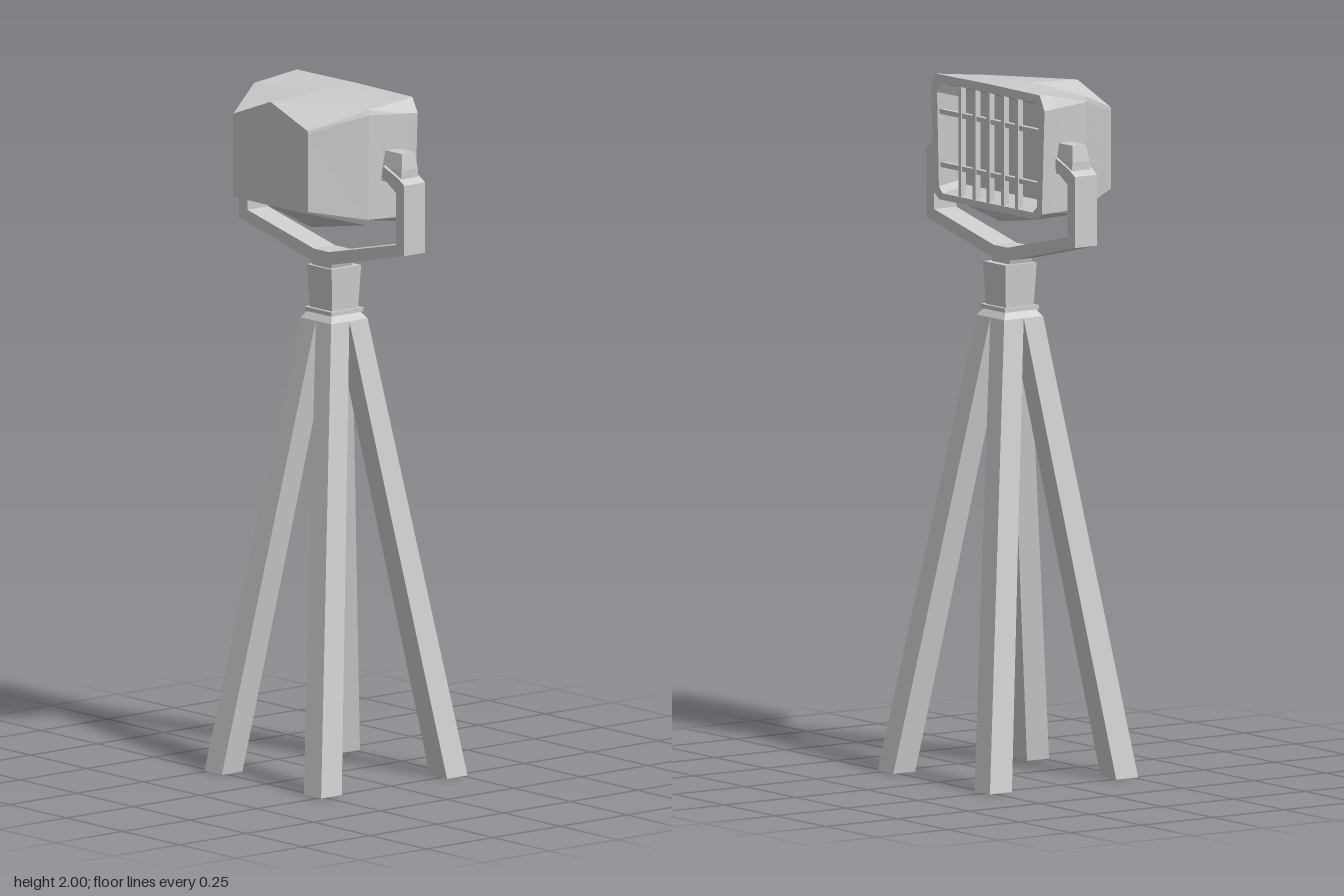
import * as THREE from 'three';

const material = new THREE.MeshStandardMaterial({ color: 0xcccccc, flatShading: true });

function addMesh(parent, name, geometry) {
  const mesh = new THREE.Mesh(geometry, material);
  mesh.name = name;
  parent.add(mesh);
  return mesh;
}

// Four-sided block between two level rectangles [x0, x1, z0, z1]
function block(y0, bottom, y1, top) {
  const g = new THREE.BoxGeometry(1, 1, 1).toNonIndexed();
  const p = g.attributes.position;
  for (let i = 0; i < p.count; i++) {
    const up = p.getY(i) > 0;
    const r = up ? top : bottom;
    p.setXYZ(i, p.getX(i) > 0 ? r[1] : r[0], up ? y1 : y0, p.getZ(i) > 0 ? r[3] : r[2]);
  }
  g.computeVertexNormals();
  return g;
}

const square = (h) => [-h, h, -h, h];

// Closed loft through mirrored half sections { x, half: [[z, y], ...] }, top to bottom
function loft(sections) {
  const rings = sections.map(({ x, half }) => {
    const other = half.slice(1, -1).reverse().map(([z, y]) => [-z, y]);
    return [...half, ...other].map(([z, y]) => [x, y, z]);
  });
  const n = rings[0].length;
  const out = [];
  const tri = (a, b, c) => out.push(...a, ...b, ...c);
  for (let i = 0; i < rings.length - 1; i++) {
    for (let j = 0; j < n; j++) {
      const k = (j + 1) % n;
      tri(rings[i][j], rings[i][k], rings[i + 1][k]);
      tri(rings[i][j], rings[i + 1][k], rings[i + 1][j]);
    }
  }
  const first = rings[0], last = rings[rings.length - 1];
  for (let j = 1; j < n - 1; j++) {
    tri(first[0], first[j + 1], first[j]);
    tri(last[0], last[j], last[j + 1]);
  }
  const g = new THREE.BufferGeometry();
  g.setAttribute('position', new THREE.Float32BufferAttribute(out, 3));
  g.computeVertexNormals();
  return g;
}

export function createModel() {
  const model = new THREE.Group();
  model.name = 'tripodFloodlight';

  // Four splayed legs with square feet
  const legs = new THREE.Group();
  legs.name = 'legs';
  model.add(legs);
  for (const sx of [-1, 1]) {
    for (const sz of [-1, 1]) {
      const range = (s, a, b) => (s > 0 ? [a, b] : [-b, -a]);
      const z = sx > 0 ? [0.2, 0.276] : [0.181, 0.258];
      const foot = [...range(sx, 0.189, 0.266), ...range(sz, ...z)];
      const head = [...range(sx, 0, 0.068), ...range(sz, 0, 0.068)];
      addMesh(legs, 'leg', block(0, foot, 1.325, head));
    }
  }

  // Hub: sloped collar, thin ring and flared socket
  const hub = new THREE.Group();
  hub.name = 'hub';
  model.add(hub);
  addMesh(hub, 'collar', block(1.325, square(0.068), 1.345, square(0.053)));
  addMesh(hub, 'ring', block(1.345, square(0.06), 1.357, square(0.06)));
  addMesh(hub, 'socket', block(1.357, square(0.049), 1.48, square(0.055)));

  // Yoke carrying the lamp on both sides
  const outer = [[0.04, 1.475], [0.045, 1.492], [0.365, 1.567], [0.365, 1.772], [0.335, 1.79], [0.27, 1.815]];
  const inner = [[0.27, 1.782], [0.328, 1.746], [0.328, 1.594], [0.033, 1.527]];
  const half = [...outer, ...inner];
  const outline = [...half, ...half.map(([z, y]) => [-z, y]).reverse()];
  const yokeShape = new THREE.Shape(outline.map(([z, y]) => new THREE.Vector2(z, y)));
  const yoke = new THREE.ExtrudeGeometry(yokeShape, { depth: 0.078, bevelEnabled: false });
  yoke.rotateY(Math.PI / 2).translate(-0.046, 0, 0);
  addMesh(model, 'yoke', yoke);

  // Tapered pivot knobs
  for (const s of [-1, 1]) {
    const zs = (a, b) => (s > 0 ? [a, b] : [-b, -a]);
    addMesh(model, 'pivotKnob', block(1.77, [-0.04, 0.028, ...zs(0.25, 0.342)], 1.81, [-0.036, 0.024, ...zs(0.25, 0.342)]));
    addMesh(model, 'pivotKnobCap', block(1.81, [-0.036, 0.024, ...zs(0.25, 0.342)], 1.857, [-0.028, 0.018, ...zs(0.25, 0.335)]));
  }

  // Lamp housing from the back plate to the rim, then into the recess
  addMesh(model, 'lampHousing', loft([
    { x: -0.237, half: [[0, 1.985], [0.164, 1.925], [0.165, 1.915], [0.165, 1.69], [0.16, 1.683], [0, 1.683]] },
    { x: -0.085, half: [[0, 1.99], [0.252, 1.981], [0.256, 1.965], [0.25, 1.66], [0.24, 1.643], [0, 1.6]] },
    { x: 0.035, half: [[0, 1.997], [0.256, 1.993], [0.273, 1.958], [0.262, 1.656], [0.24, 1.639], [0, 1.6]] },
    { x: 0.077, half: [[0, 2], [0.255, 1.998], [0.279, 1.955], [0.266, 1.655], [0.24, 1.637], [0, 1.637]] },
    { x: 0.077, half: [[0, 1.975], [0.232, 1.975], [0.25, 1.945], [0.241, 1.674], [0.222, 1.656], [0, 1.656]] },
    { x: 0.015, half: [[0, 1.955], [0.2, 1.955], [0.215, 1.93], [0.21, 1.695], [0.195, 1.68], [0, 1.68]] },
  ]));

  // Protective grille
  const grille = new THREE.Group();
  grille.name = 'grille';
  model.add(grille);
  for (let i = -2; i <= 2; i++) {
    const bar = addMesh(grille, 'uprightBar', new THREE.BoxGeometry(0.018, 0.335, 0.014));
    bar.position.set(0.067, 1.815, i * 0.07);
  }
  for (const y of [1.737, 1.89]) {
    const bar = addMesh(grille, 'crossBar', new THREE.BoxGeometry(0.016, 0.014, 0.5));
    bar.position.set(0.064, y, 0);
  }

  return model;
}
